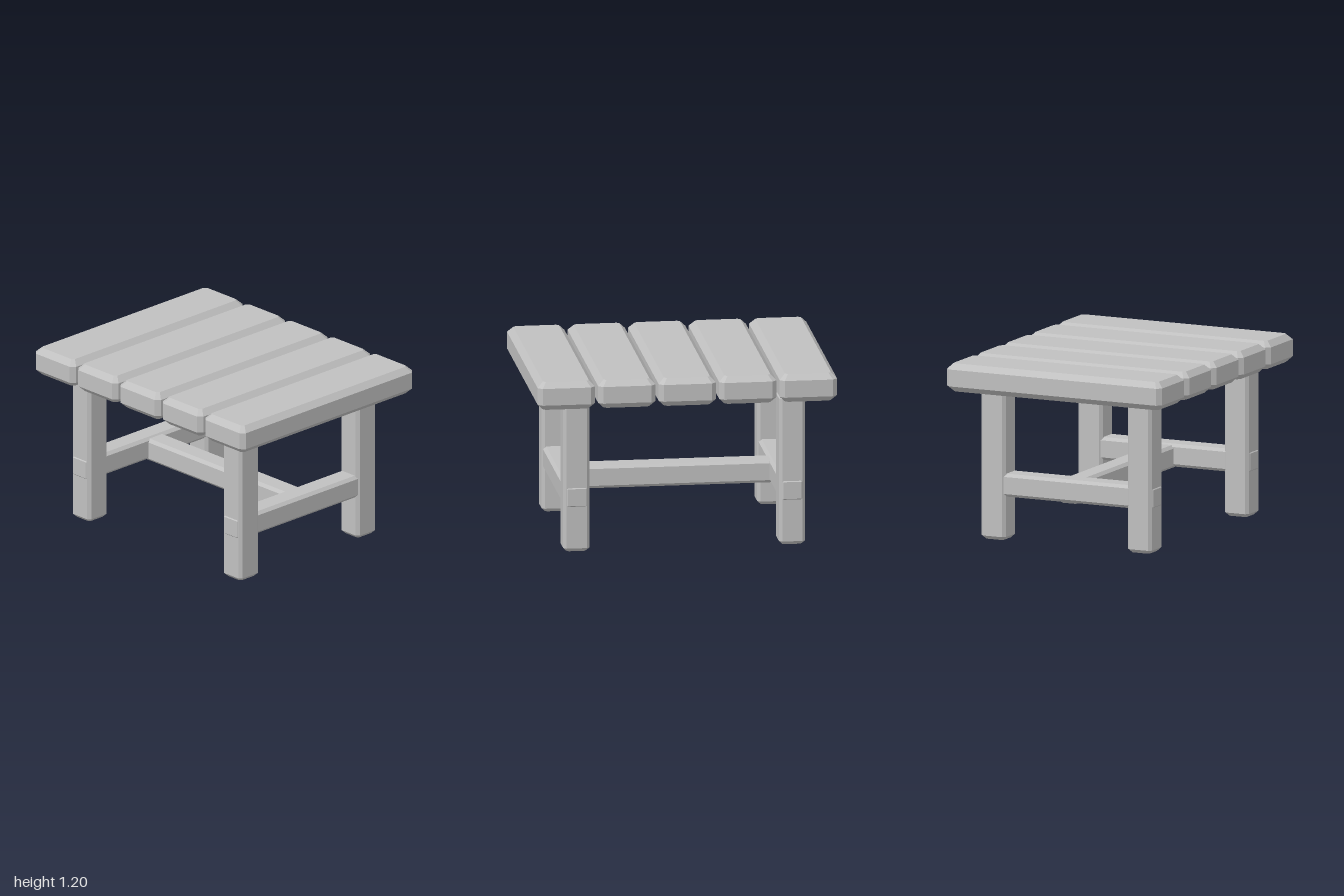
import * as THREE from 'three';
import { ConvexGeometry } from 'three/addons/geometries/ConvexGeometry.js';

const grey = new THREE.MeshStandardMaterial({ color: 0xc0c0c0 });
grey.name = 'plain grey';

// Box w x h x d with chamfers: b on the top and bottom rims, c on the upright edges
function chamferBox(w, h, d, b, c) {
  const points = [];
  const ring = (y, inset, cut) => {
    const x = w / 2 - inset, z = d / 2 - inset;
    for (const sx of [-1, 1]) for (const sz of [-1, 1]) {
      points.push(new THREE.Vector3(sx * (x - cut), y, sz * z));
      points.push(new THREE.Vector3(sx * x, y, sz * (z - cut)));
    }
  };
  for (const s of [-1, 1]) {
    ring(s * h / 2, b, c * 0.6);
    ring(s * (h / 2 - b), 0, c);
  }
  return new ConvexGeometry(points);
}

export function createModel() {
  const model = new THREE.Group();
  model.name = 'slattedTable';

  const add = (name, geometry, x, y, z) => {
    const mesh = new THREE.Mesh(geometry, grey);
    mesh.name = name;
    mesh.position.set(x, y, z);
    model.add(mesh);
  };

  // Five top planks running front to back
  const plank = chamferBox(0.383, 0.19, 1.59, 0.038, 0.03);
  for (let i = -2; i <= 2; i++) add('topPlank' + (i + 3), plank, i * 0.404, 1.105, 0);

  // Four legs, just entering the planks
  const leg = chamferBox(0.176, 1.022, 0.18, 0.024, 0.02);
  // Side rails, whose ends come through the legs
  const sideRail = chamferBox(0.16, 0.155, 1.272, 0.02, 0.02);
  for (const sx of [-1, 1]) {
    const side = sx > 0 ? 'Left' : 'Right';
    for (const sz of [-1, 1])
      add((sz > 0 ? 'front' : 'back') + side + 'Leg', leg, sx * 0.72, 0.511, sz * 0.54);
    add('side' + side + 'Rail', sideRail, sx * 0.72, 0.3725, 0);
  }

  // Cross rail joining the side rails, set slightly lower
  add('crossRail', chamferBox(1.56, 0.155, 0.155, 0.02, 0.02), 0, 0.3625, 0);

  return model;
}
